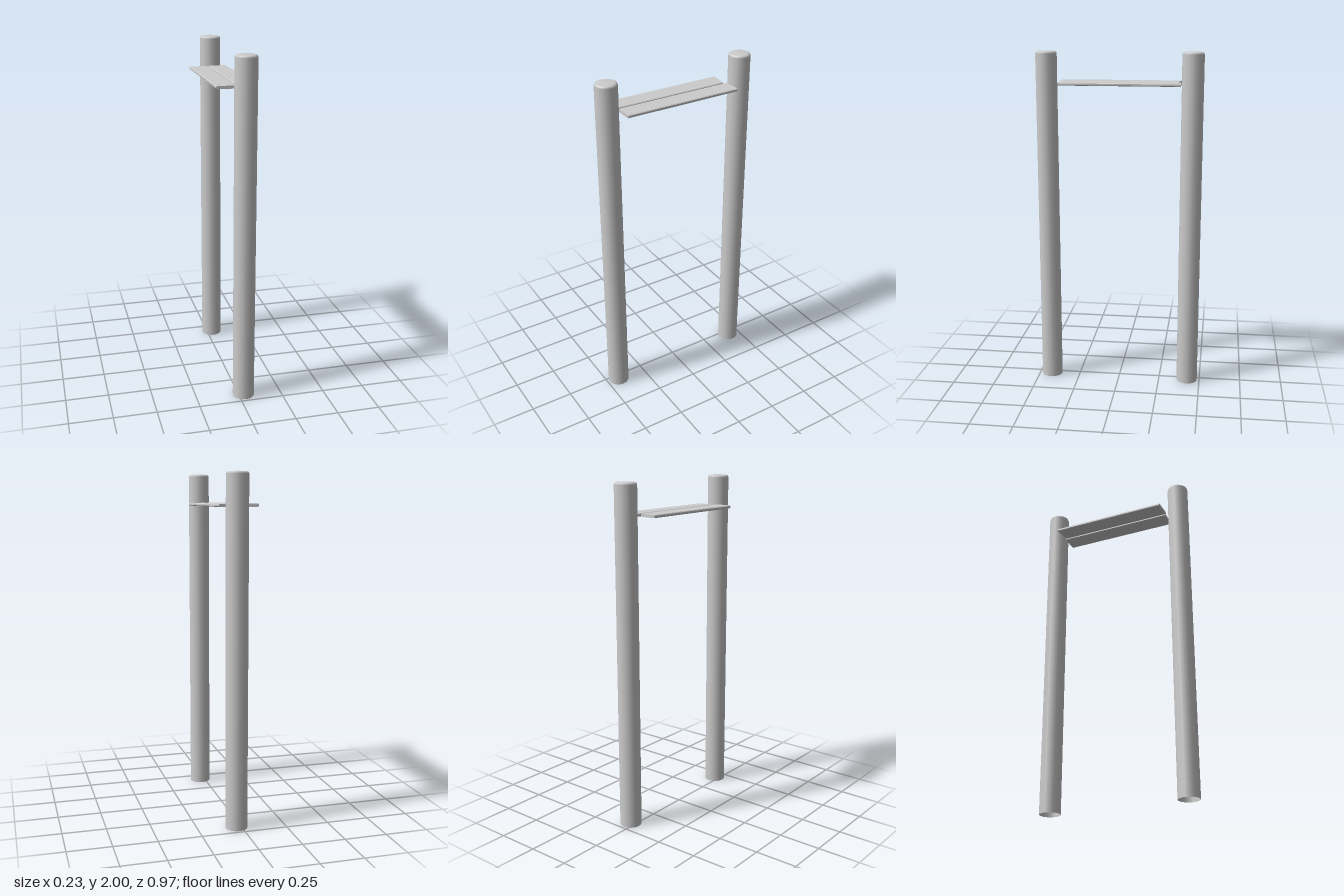
import * as THREE from 'three';

const material = new THREE.MeshStandardMaterial({ color: 0xcccccc, side: THREE.DoubleSide });

// Round post, open at the foot, with a softly rounded top
function makePost(name, z) {
  const profile = [[0.063, 0], [0.063, 1.985], [0.059, 1.994], [0.05, 1.998], [0, 2]]
    .map(([r, y]) => new THREE.Vector2(r, y));
  const post = new THREE.Mesh(new THREE.LatheGeometry(profile, 16), material);
  post.name = name;
  post.position.set(0.029, 0, z);
  return post;
}

// Thin board with chamfered long edges; each end is cut along a slanted line.
// back and front hold the z of the cut at x0 and at x1.
function makeBoard(name, x0, x1, back, front) {
  const y0 = 1.809, y1 = 1.826, c = 0.004;
  const section = new THREE.Shape([
    [x0 + c, y0], [x1 - c, y0], [x1, y0 + c], [x1, y1 - c],
    [x1 - c, y1], [x0 + c, y1], [x0, y1 - c], [x0, y0 + c],
  ].map(([x, y]) => new THREE.Vector2(x, y)));
  const geometry = new THREE.ExtrudeGeometry(section, { depth: 1, bevelEnabled: false });
  const p = geometry.attributes.position;
  for (let i = 0; i < p.count; i++) {
    const t = (p.getX(i) - x0) / (x1 - x0);
    const ends = p.getZ(i) > 0.5 ? front : back;
    p.setZ(i, THREE.MathUtils.lerp(ends[0], ends[1], t));
  }
  geometry.computeVertexNormals();
  const board = new THREE.Mesh(geometry, material);
  board.name = name;
  return board;
}

export function createModel() {
  const model = new THREE.Group();
  model.name = 'postsWithShelf';
  model.add(
    makePost('frontPost', 0.423),
    makePost('backPost', -0.423),
    makeBoard('rightBoard', -0.115, -0.006, [-0.356, -0.341], [0.351, 0.353]),
    makeBoard('leftBoard', 0.004, 0.113, [-0.356, -0.359], [0.343, 0.342]),
  );
  return model;
}
